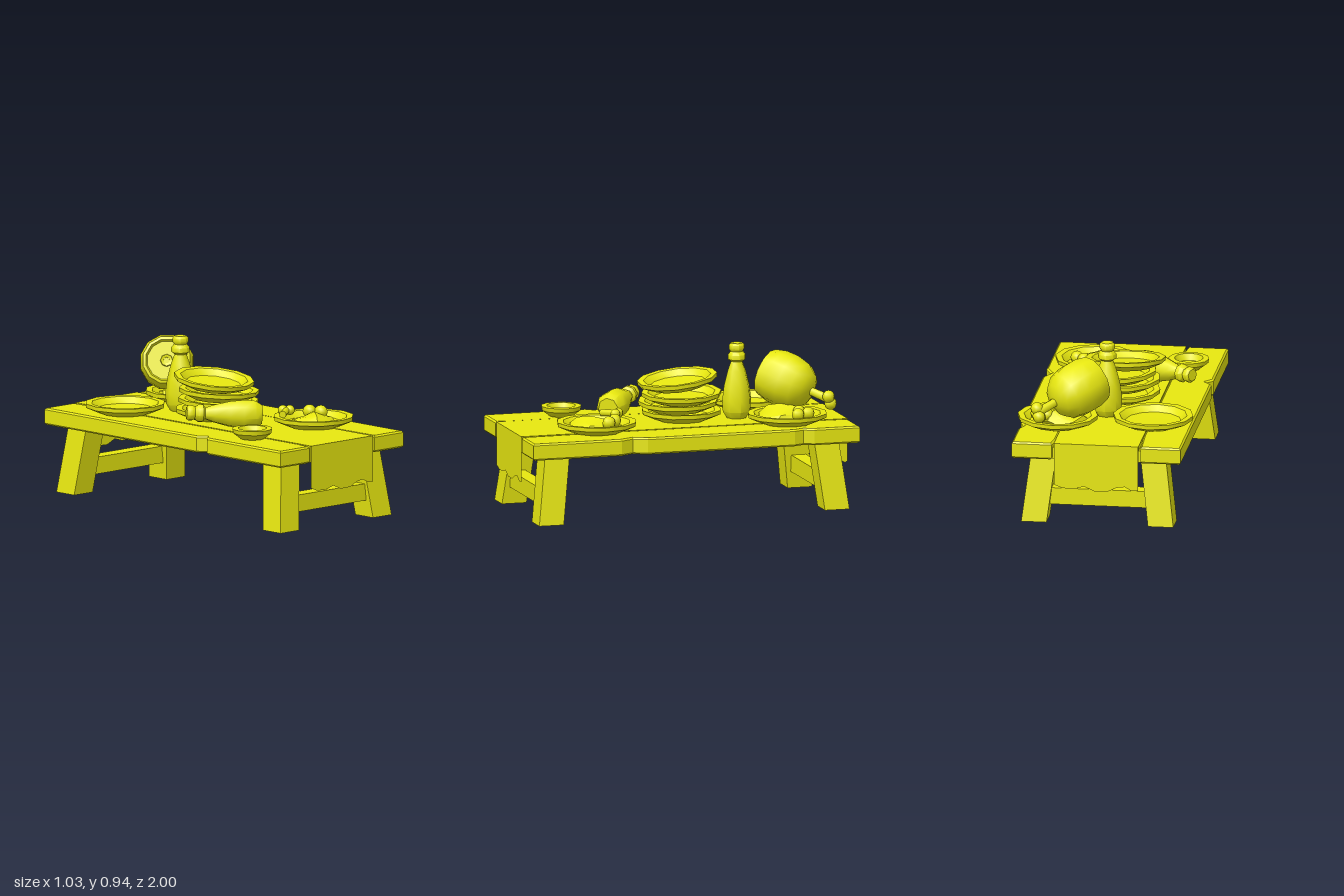
import * as THREE from 'three';
import { toCreasedNormals } from 'three/addons/utils/BufferGeometryUtils.js';

const material = new THREE.MeshStandardMaterial({ color: 0xe8e810 });
const clothMaterial = new THREE.MeshStandardMaterial({ color: 0xe8e810, side: THREE.DoubleSide });
const UP = new THREE.Vector3(0, 1, 0);

function add(parent, name, geometry, position = [0, 0, 0], rotation = [0, 0, 0], mat = material) {
  const mesh = new THREE.Mesh(geometry, mat);
  mesh.name = name;
  mesh.position.set(...position);
  mesh.rotation.set(...rotation);
  parent.add(mesh);
  return mesh;
}

function lathe(profile, sides, crease) {
  const points = profile.map(([r, y]) => new THREE.Vector2(r, y));
  return toCreasedNormals(new THREE.LatheGeometry(points, sides), crease);
}

// Turn a mesh so its own y axis points from one place to another
function aim(mesh, from, to) {
  const a = new THREE.Vector3(...from), b = new THREE.Vector3(...to);
  mesh.position.copy(a);
  mesh.quaternion.setFromUnitVectors(UP, b.sub(a).normalize());
  return mesh;
}

// Plank seen from above, given as [x, z] corners
function plank(corners) {
  const shape = new THREE.Shape(corners.map(([x, z]) => new THREE.Vector2(x, -z)));
  const g = new THREE.ExtrudeGeometry(shape, {
    depth: 0.08, bevelSize: 0.01, bevelThickness: 0.01, bevelOffset: -0.01, bevelSegments: 1
  });
  return g.rotateX(-Math.PI / 2).translate(0, 0.41, 0);
}

// Leg that leans outward towards the foot
function legGeometry(sx, sz) {
  const g = new THREE.BoxGeometry(0.15, 0.42, 0.15).translate(0, 0.21, 0);
  const p = g.attributes.position;
  for (let i = 0; i < p.count; i++) {
    const lean = 0.05 * (1 - p.getY(i) / 0.4);
    p.setX(i, p.getX(i) + sx * (0.325 + lean));
    p.setZ(i, p.getZ(i) + sz * (0.825 + lean));
  }
  g.computeVertexNormals();
  return g;
}

// Low heap of food with an uneven surface
function moundGeometry(w, h, d) {
  const g = new THREE.IcosahedronGeometry(1, 1);
  const p = g.attributes.position;
  for (let i = 0; i < p.count; i++) {
    const x = p.getX(i), y = p.getY(i), z = p.getZ(i);
    const k = 1 + 0.15 * Math.sin(5 * x + 3 * z + 2 * y);
    p.setXYZ(i, x * w * k, Math.max(0, y) * h * k, z * d * k);
  }
  return toCreasedNormals(g, 0.5);
}

export function createModel() {
  const model = new THREE.Group();
  model.name = 'feastTable';

  // Table top: two notched side planks and a middle plank
  const table = new THREE.Group();
  table.name = 'table';
  model.add(table);
  add(table, 'rightPlank', plank([
    [-0.5, -1], [-0.262, -1], [-0.25, -0.78], [-0.25, 0.9], [-0.262, 1], [-0.5, 1],
    [-0.5, 0.38], [-0.46, 0.335], [-0.5, 0.29]
  ]));
  add(table, 'leftPlank', plank([
    [0.5, -1], [0.5, -0.72], [0.475, -0.66], [0.5, -0.6], [0.5, 0.3], [0.46, 0.38], [0.5, 0.46],
    [0.5, 1], [0.262, 1], [0.252, 0.5], [0.25, -0.1], [0.25, -0.9], [0.262, -1]
  ]));
  add(table, 'middlePlank', new THREE.BoxGeometry(0.5, 0.098, 1.98), [0, 0.45, 0]);
  add(table, 'underBoard', new THREE.BoxGeometry(0.56, 0.07, 1.96), [0, 0.437, 0]);

  // Legs and end stretchers
  for (const sz of [1, -1]) {
    for (const sx of [1, -1]) add(table, 'leg', legGeometry(sx, sz));
    add(table, 'stretcher', new THREE.BoxGeometry(0.62, 0.1, 0.09), [0, 0.15, sz * 0.86]);
  }

  // Runner: flat strip with a ragged hanging flap at each end
  add(model, 'runner', new THREE.BoxGeometry(0.5, 0.003, 2), [0, 0.5, 0]);
  const hem = [[-0.25, 0.25], [-0.2, 0.23], [-0.13, 0.228], [-0.07, 0.245], [-0.01, 0.218],
    [0.07, 0.22], [0.12, 0.245], [0.17, 0.252], [0.21, 0.23], [0.25, 0.23]];
  const flap = new THREE.ShapeGeometry(new THREE.Shape(
    [...hem, [0.25, 0.5], [-0.25, 0.5]].map(([x, y]) => new THREE.Vector2(x, y))));
  add(model, 'frontFlap', flap, [0, 0, 1], [0, 0, 0], clothMaterial);
  add(model, 'backFlap', flap, [0, 0, -1], [0, Math.PI, 0], clothMaterial);

  // Plates: three laid out, four stacked and tilted
  const plate = lathe([[0, 0], [0.15, 0], [0.235, 0.038], [0.237, 0.062], [0.2, 0.06],
    [0.165, 0.025], [0, 0.02]], 12, 0.6);
  const plates = [
    [[-0.275, 0.503, -0.55]], [[0.28, 0.503, -0.62]], [[0.22, 0.503, 0.53]],
    [[-0.01, 0.503, -0.06]],
    [[-0.01, 0.56, -0.04], [0.03, 0.4, -0.03]],
    [[0.01, 0.613, -0.055], [0.07, 0.9, -0.06]],
    [[-0.04, 0.69, -0.05], [0.13, 0.2, -0.02]]
  ];
  for (const [position, rotation] of plates) add(model, 'plate', plate, position, rotation);

  // Small bowl
  add(model, 'bowl', lathe([[0, 0], [0.07, 0], [0.115, 0.035], [0.12, 0.06], [0.085, 0.062],
    [0.068, 0.025], [0, 0.02]], 12, 0.6), [-0.325, 0.503, 0.58]);

  // Bottles: one upright, one lying down
  const bottle = lathe([[0, 0], [0.06, 0], [0.085, 0.04], [0.088, 0.11], [0.078, 0.19],
    [0.055, 0.28], [0.035, 0.335], [0.054, 0.348], [0.054, 0.375], [0.038, 0.395],
    [0.047, 0.41], [0.047, 0.432], [0.036, 0.444], [0, 0.444]], 8, 0.85);
  add(model, 'standingBottle', bottle, [0.02, 0.501, -0.39]);
  aim(add(model, 'lyingBottle', bottle), [-0.055, 0.583, 0.375], [-0.41, 0.605, 0.115]);

  // Joint of meat with a recessed cut face and a bone
  const cut = [0.07, 0.772, -0.56], boneEnd = [0.36, 0.645, -0.85];
  const joint = new THREE.Group();
  joint.name = 'joint';
  model.add(joint);
  const meat = lathe([[0, 0.02], [0.115, 0.02], [0.125, -0.005], [0.142, 0], [0.16, 0.07],
    [0.16, 0.15], [0.142, 0.23], [0.1, 0.285], [0.04, 0.31], [0, 0.312]], 12, 0.85);
  aim(add(joint, 'meat', meat), cut, boneEnd);
  aim(add(joint, 'marrowRing', lathe([[0.018, 0.03], [0.018, 0.012], [0.035, 0.006],
    [0.04, 0.03]].map(([r, y]) => [r, y]), 8, 0.6)), cut, boneEnd);
  aim(add(joint, 'bone', new THREE.CylinderGeometry(0.028, 0.024, 0.2, 8).translate(0, 0.33, 0)),
    cut, boneEnd);
  const ball = (r) => new THREE.SphereGeometry(r, 8, 6);
  for (const p of [[0.372, 0.662, -0.845], [0.358, 0.618, -0.862]]) add(joint, 'boneKnob', ball(0.038), p);

  // Food on the back plate
  add(model, 'backFood', moundGeometry(0.14, 0.08, 0.14), [0.25, 0.525, -0.6]);
  for (const p of [[0.375, 0.57, -0.72], [0.335, 0.575, -0.675], [0.4, 0.57, -0.65]]) {
    add(model, 'backBerry', ball(0.038), p);
  }

  // Food on the front plate: heap, gnawed bone and round fruit
  add(model, 'frontFood', moundGeometry(0.14, 0.06, 0.12), [0.2, 0.525, 0.56]);
  aim(add(model, 'gnawedBone', new THREE.CylinderGeometry(0.02, 0.022, 0.1, 8).translate(0, 0.05, 0)),
    [0.05, 0.58, 0.445], [0.14, 0.588, 0.385]);
  for (const p of [[0.125, 0.588, 0.368], [0.155, 0.588, 0.395]]) add(model, 'gnawedKnob', ball(0.03), p);
  for (const p of [[0.275, 0.572, 0.436], [0.322, 0.568, 0.485]]) add(model, 'frontBerry', ball(0.04), p);

  return model;
}
